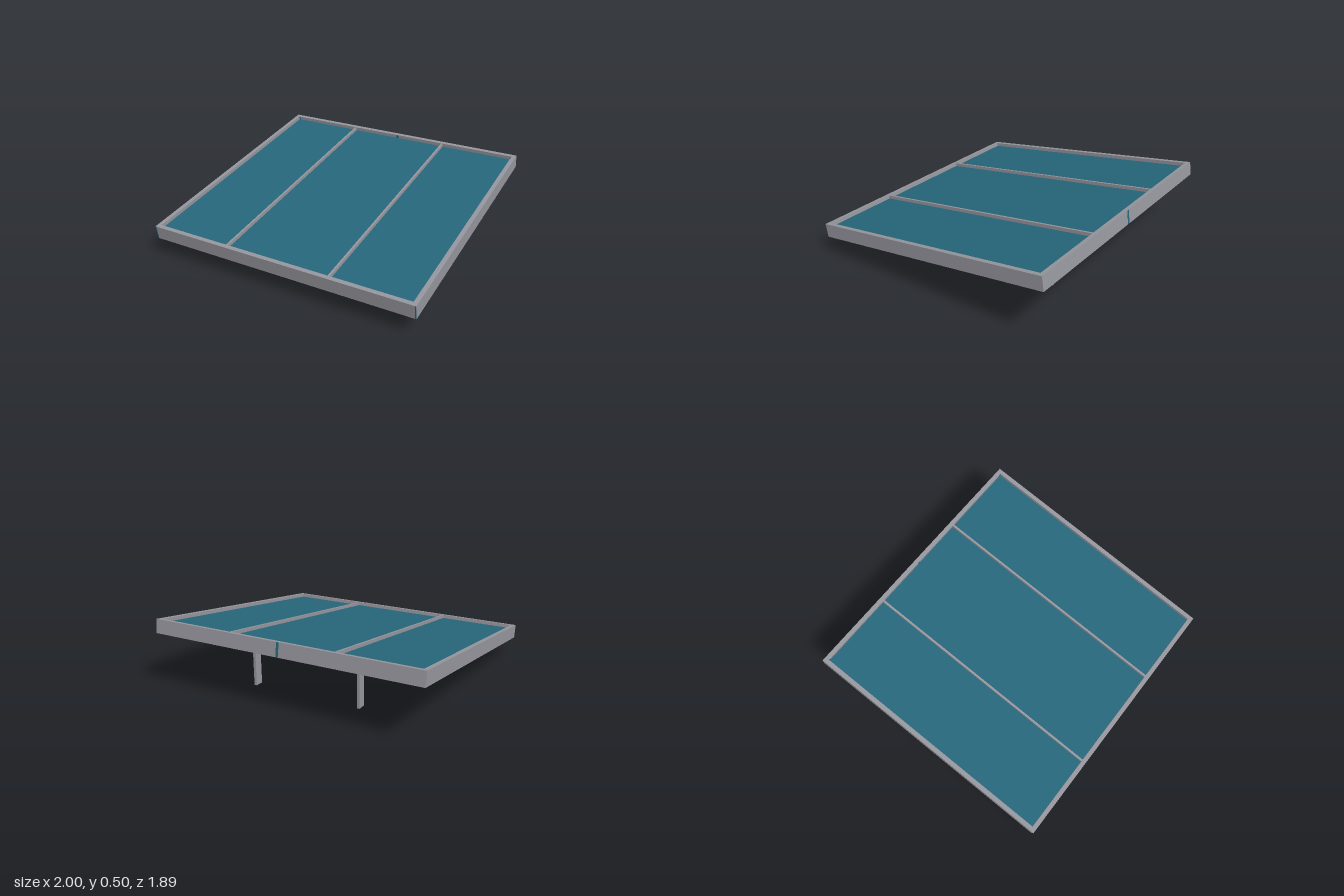
import * as THREE from 'three';

export function createModel() {
  const model = new THREE.Group();
  model.name = 'tiltedPanel';

  const metal = new THREE.MeshStandardMaterial({ color: 0x95959d });
  metal.name = 'grey metal';
  const glass = new THREE.MeshStandardMaterial({ color: 0x26667a });
  glass.name = 'teal glass';

  const box = (parent, name, material, size, position) => {
    const mesh = new THREE.Mesh(new THREE.BoxGeometry(...size), material);
    mesh.name = name;
    mesh.position.set(...position);
    parent.add(mesh);
    return mesh;
  };

  // Shallow tray, sloping down towards the front
  const W = 2, H = 0.1, L = 1.89, rim = 0.031;
  const tray = new THREE.Group();
  tray.name = 'tray';
  tray.position.set(0, 0.312, 0.002);
  tray.rotation.x = 0.1434;
  model.add(tray);

  box(tray, 'backPlate', metal, [W - 2 * rim, 0.01, L - 2 * rim], [0, -H / 2 + 0.005, 0]);
  box(tray, 'glassPanel', glass, [W - 2 * rim, 0.064, L - 2 * rim], [0, -0.008, 0]);

  for (const s of [-1, 1]) {
    box(tray, s > 0 ? 'leftRail' : 'rightRail', metal, [rim, H, L], [s * (W - rim) / 2, 0, 0]);
    box(tray, s > 0 ? 'frontRail' : 'rearRail', metal, [W - 2 * rim, H, rim], [0, 0, s * (L - rim) / 2]);
    box(tray, 'divider', metal, [0.015, 0.026, L - 2 * rim], [s * 0.395, 0.035, 0]);

    // Slim teal seams at the front and inner rear corners
    box(tray, 'frontCornerSeam', glass, [0.007, H - 0.002, 0.002], [s * 0.9955, 0, L / 2]);
    box(tray, 'rearCornerSeam', glass, [0.01, 0.025, 0.002], [s * 0.963, 0.036, -L / 2 + rim + 0.001]);
  }

  // Seam in the middle of the rear rail
  box(tray, 'rearSeam', glass, [0.018, H - 0.002, 0.003], [0, 0, -L / 2]);
  box(tray, 'innerRearSeam', glass, [0.018, 0.025, 0.003], [0, 0.036, -L / 2 + rim]);

  // Flat legs: short and leaning in front, tall and upright behind
  for (const s of [-1, 1]) {
    const front = box(model, 'frontLeg', metal, [0.02, 0.187, 0.068], [s * 0.41, 0.097, 0.533]);
    front.rotation.x = 0.085;
    box(model, 'rearLeg', metal, [0.02, 0.345, 0.063], [s * 0.41, 0.1815, -0.592]);
  }

  return model;
}
